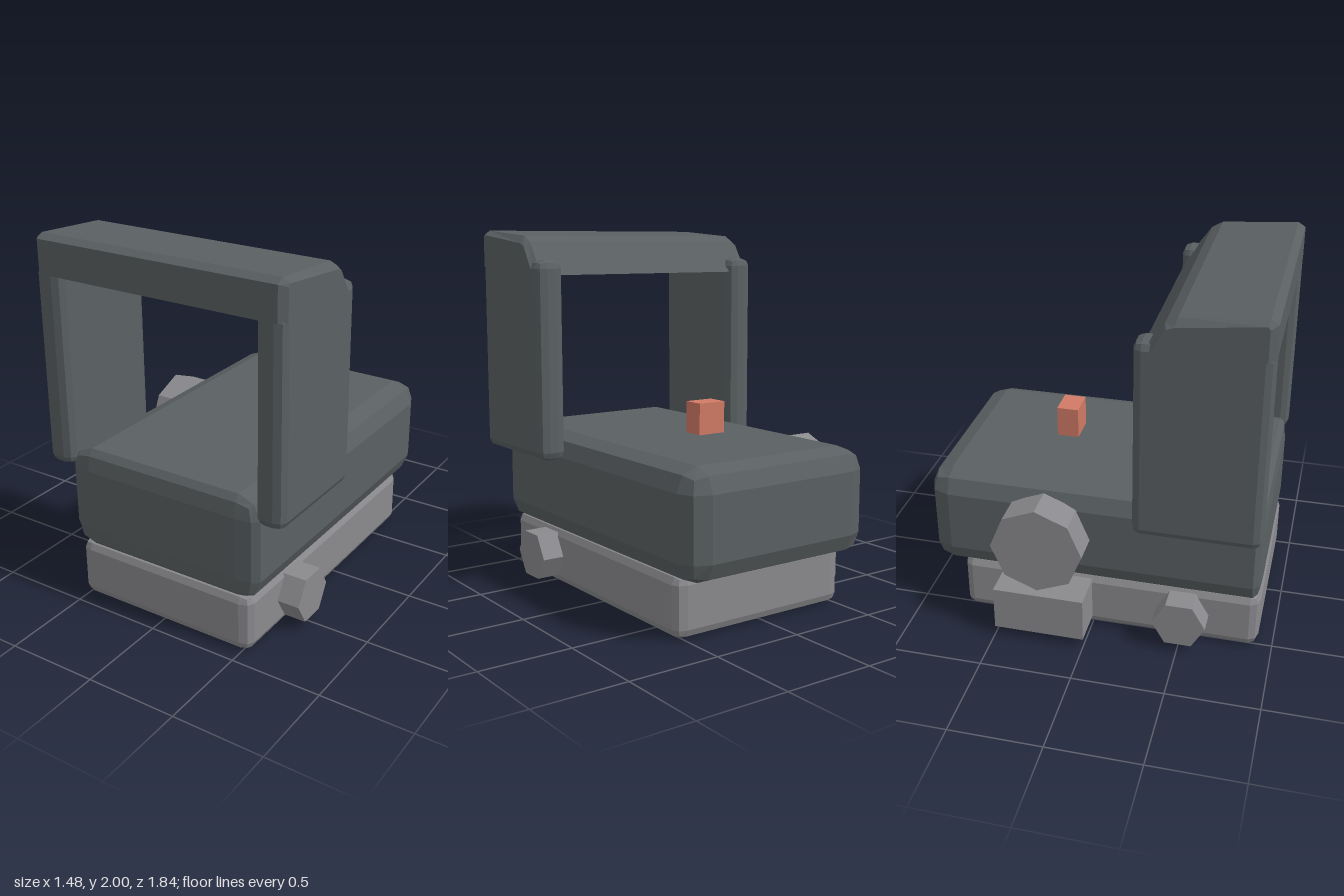
import * as THREE from 'three';
import { RoundedBoxGeometry } from 'three/addons/geometries/RoundedBoxGeometry.js';

const flat = (name, color) => new THREE.MeshStandardMaterial({ name, color, flatShading: true });

// Box between lo and hi whose bevel depth can differ on every side
function bevelBox(lo, hi, bevelLo, bevelHi = bevelLo) {
  const g = new RoundedBoxGeometry(2, 2, 2, 1, 0.25);
  const p = g.attributes.position;
  for (let i = 0; i < p.count; i++) {
    for (let k = 0; k < 3; k++) {
      const v = p.getComponent(i, k);
      const t = Math.min(1, Math.max(0, (Math.abs(v) - 0.75) / 0.25));
      p.setComponent(i, k, v < 0 ? lo[k] + bevelLo[k] * (1 - t) : hi[k] - bevelHi[k] * (1 - t));
    }
  }
  g.computeVertexNormals();
  return g;
}

function plainBox(lo, hi) {
  return new THREE.BoxGeometry(hi[0] - lo[0], hi[1] - lo[1], hi[2] - lo[2])
    .translate((lo[0] + hi[0]) / 2, (lo[1] + hi[1]) / 2, (lo[2] + hi[2]) / 2);
}

// Prism along x with a corner pointing to the front
function prism(x0, x1, y, z, radius, sides) {
  return new THREE.CylinderGeometry(radius, radius, x1 - x0, sides)
    .rotateZ(Math.PI / 2).translate((x0 + x1) / 2, y, z);
}

// Skin over side profiles [z, y], each placed at its own x
function loft(sections) {
  const pos = [];
  const put = (s, j) => pos.push(s.x, s.profile[j][1], s.profile[j][0]);
  const n = sections[0].profile.length;
  for (let i = 0; i < sections.length - 1; i++) {
    const a = sections[i], b = sections[i + 1];
    for (let j = 0; j < n; j++) {
      const k = (j + 1) % n;
      put(a, j); put(b, j); put(b, k);
      put(a, j); put(b, k); put(a, k);
    }
  }
  const first = sections[0], last = sections[sections.length - 1];
  for (let j = 1; j < n - 1; j++) {
    put(first, 0); put(first, j); put(first, j + 1);
    put(last, 0); put(last, j + 1); put(last, j);
  }
  const g = new THREE.BufferGeometry();
  g.setAttribute('position', new THREE.Float32BufferAttribute(pos, 3));
  g.computeVertexNormals();
  return g;
}

export function createModel() {
  const group = new THREE.Group();
  const dark = flat('dark slate', 0x5a6062);
  const grey = flat('mid grey', 0x8a8a8e);
  const red = flat('brick red', 0xd07a65);
  const add = (name, geometry, material) => {
    const mesh = new THREE.Mesh(geometry, material);
    mesh.name = name;
    group.add(mesh);
  };

  // Lower base and the main block on it
  add('base', bevelBox([-0.535, 0, -0.745], [0.55, 0.33, 0.92], [0.065, 0.05, 0.05]), grey);
  add('mainBody', bevelBox([-0.575, 0.3, -0.915], [0.59, 0.88, 0.92],
    [0.125, 0.12, 0.125], [0.125, 0.12, 0.04]), dark);

  // Upright side panels
  for (const [name, x0] of [['rightPanel', -0.72], ['leftPanel', 0.575]]) {
    add(name, bevelBox([x0, 0.755, 0.25], [x0 + 0.16, 1.84, 0.92], [0.055, 0.045, 0.045]), dark);
  }

  // Roof with chamfered ends and a sloping rear
  const outer = [[0.885, 1.795], [0.885, 1.96], [0.875, 1.975], [0.45, 1.93], [0.41, 1.915], [0.335, 1.795]];
  const inner = [[0.92, 1.795], [0.92, 1.975], [0.88, 2], [0.46, 1.97], [0.4, 1.935], [0.275, 1.76]];
  add('roof', loft([
    { x: -0.72, profile: outer }, { x: -0.685, profile: inner },
    { x: 0.7, profile: inner }, { x: 0.735, profile: outer },
  ]), dark);

  // Side fittings
  add('rightKnob', prism(-0.66, -0.5, 0.173, 0.505, 0.145, 6), grey);
  add('leftKnob', prism(0.5, 0.675, 0.173, 0.505, 0.145, 6), grey);
  add('sideWheel', prism(-0.745, -0.56, 0.59, -0.25, 0.25, 8), grey);
  add('sideBlock', plainBox([-0.745, 0.05, -0.5], [-0.5, 0.3, 0]), grey);

  // Small floating cube
  add('floatingCube', plainBox([-0.075, 0.92, -0.31], [0.09, 1.09, -0.19]), red);

  return group;
}
